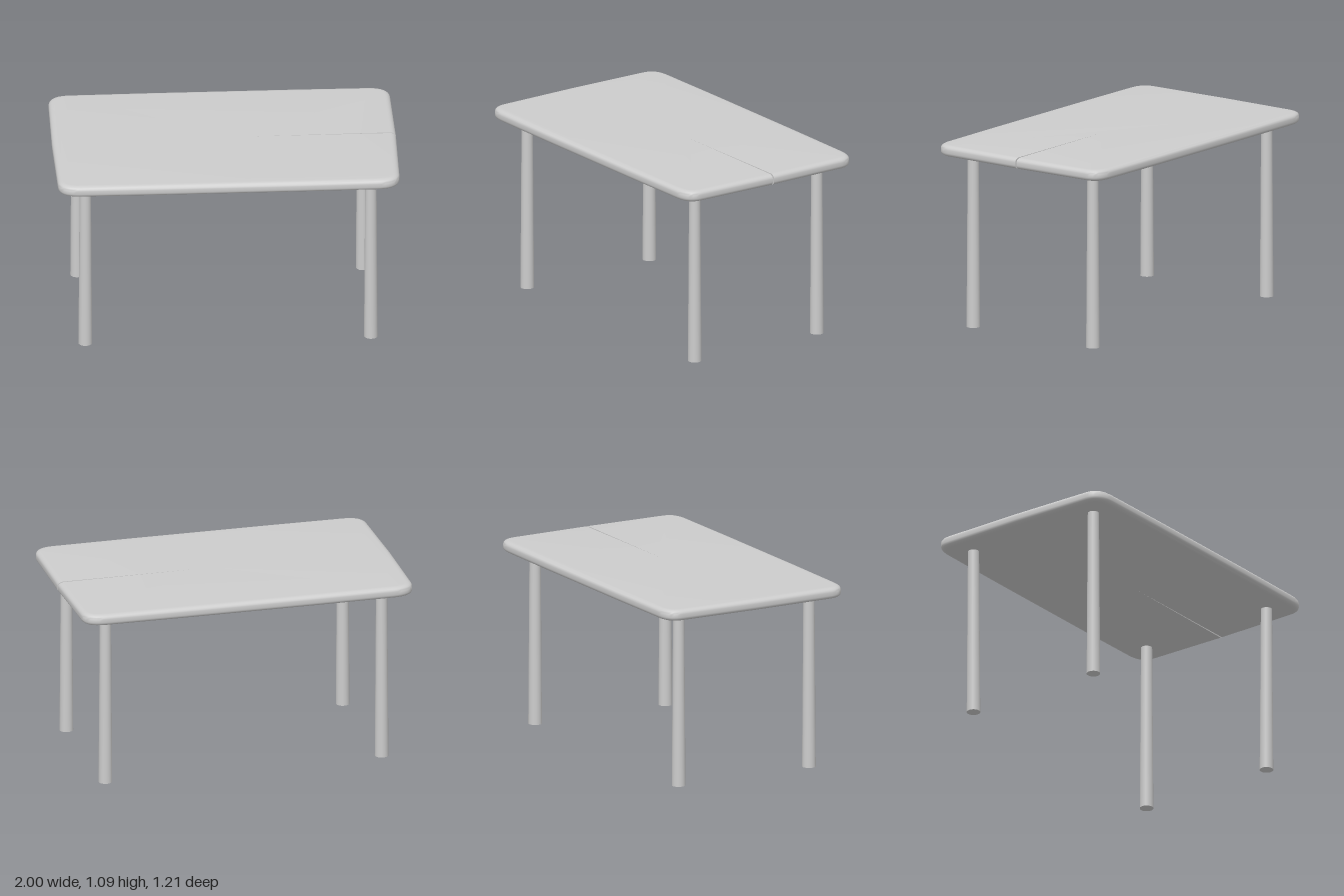
import * as THREE from 'three';
import { toCreasedNormals } from 'three/addons/utils/BufferGeometryUtils.js';

const BOTTOM = 1.027, TOP = 1.094;
const EDGE_IN = 0.035, EDGE_H = 0.024; // size of the rounded rim

// Plan of the top (x, -z): soft corners, bowed sides, narrow slit from the left end
function outline() {
  const s = new THREE.Shape();
  s.moveTo(1, 0.009);
  s.lineTo(0.993, 0.5);
  s.quadraticCurveTo(0.99, 0.602, 0.86, 0.602);
  s.lineTo(0.4, 0.606);
  s.lineTo(-0.4, 0.606);
  s.lineTo(-0.86, 0.602);
  s.quadraticCurveTo(-0.99, 0.602, -0.993, 0.5);
  s.lineTo(-1, 0);
  s.lineTo(-0.993, -0.5);
  s.quadraticCurveTo(-0.99, -0.602, -0.86, -0.602);
  s.lineTo(-0.4, -0.606);
  s.lineTo(0.4, -0.606);
  s.lineTo(0.86, -0.602);
  s.quadraticCurveTo(0.99, -0.602, 0.993, -0.5);
  s.lineTo(1, 0);
  s.lineTo(0.15, 0.001); // slit tip
  return s.getPoints(10);
}

function tabletopGeometry() {
  const pts = outline(), n = pts.length;
  // Inward direction per point; the slit mouth moves along x and its tip stays
  const inward = pts.map((p, i) => {
    if (i === n - 1) return new THREE.Vector2(0, 0);
    if (i === 0 || i === n - 2) return new THREE.Vector2(-1, 0);
    const t = pts[i + 1].clone().sub(pts[i - 1]).normalize();
    return new THREE.Vector2(-t.y, t.x);
  });

  // Rim profile: [inset, height] from the underside to the upper face
  const profile = [], steps = 5;
  for (let i = 0; i <= steps; i++) {
    const a = (i / steps) * Math.PI / 2;
    profile.push([EDGE_IN * (1 - Math.sin(a)), BOTTOM + EDGE_H * (1 - Math.cos(a))]);
  }
  for (let i = 0; i <= steps; i++) {
    const a = (i / steps) * Math.PI / 2;
    profile.push([EDGE_IN * (1 - Math.cos(a)), TOP - EDGE_H * (1 - Math.sin(a))]);
  }

  const pos = [], idx = [];
  profile.forEach(([d, h]) => pts.forEach((p, i) =>
    pos.push(p.x + inward[i].x * d, h, -(p.y + inward[i].y * d))));

  // Rim and slit walls
  for (let r = 0; r < profile.length - 1; r++) {
    for (let i = 0; i < n; i++) {
      const j = (i + 1) % n, a = r * n, b = a + n;
      idx.push(a + i, a + j, b + j, a + i, b + j, b + i);
    }
  }

  // Upper and lower faces
  const inner = pts.map((p, i) => p.clone().addScaledVector(inward[i], EDGE_IN));
  const last = (profile.length - 1) * n;
  for (const [a, b, c] of THREE.ShapeUtils.triangulateShape(inner, [])) {
    idx.push(last + a, last + b, last + c, c, b, a);
  }

  const g = new THREE.BufferGeometry();
  g.setAttribute('position', new THREE.Float32BufferAttribute(pos, 3));
  g.setIndex(idx);
  return toCreasedNormals(g, 0.7);
}

export function createModel() {
  const table = new THREE.Group();
  table.name = 'table';
  const grey = new THREE.MeshStandardMaterial({ color: 0xcccccc });
  grey.name = 'light grey';

  const top = new THREE.Mesh(tabletopGeometry(), grey);
  top.name = 'tabletop';
  table.add(top);

  // Four round legs, slightly tapered towards the top
  const height = BOTTOM + 0.005;
  const legGeometry = new THREE.CylinderGeometry(0.033, 0.04, height, 24);
  for (const x of [-1, 1]) {
    for (const z of [-1, 1]) {
      const leg = new THREE.Mesh(legGeometry, grey);
      leg.name = (z > 0 ? 'front' : 'back') + (x > 0 ? 'Left' : 'Right') + 'Leg';
      leg.position.set(x * 0.83, height / 2, z * 0.437);
      table.add(leg);
    }
  }
  return table;
}
